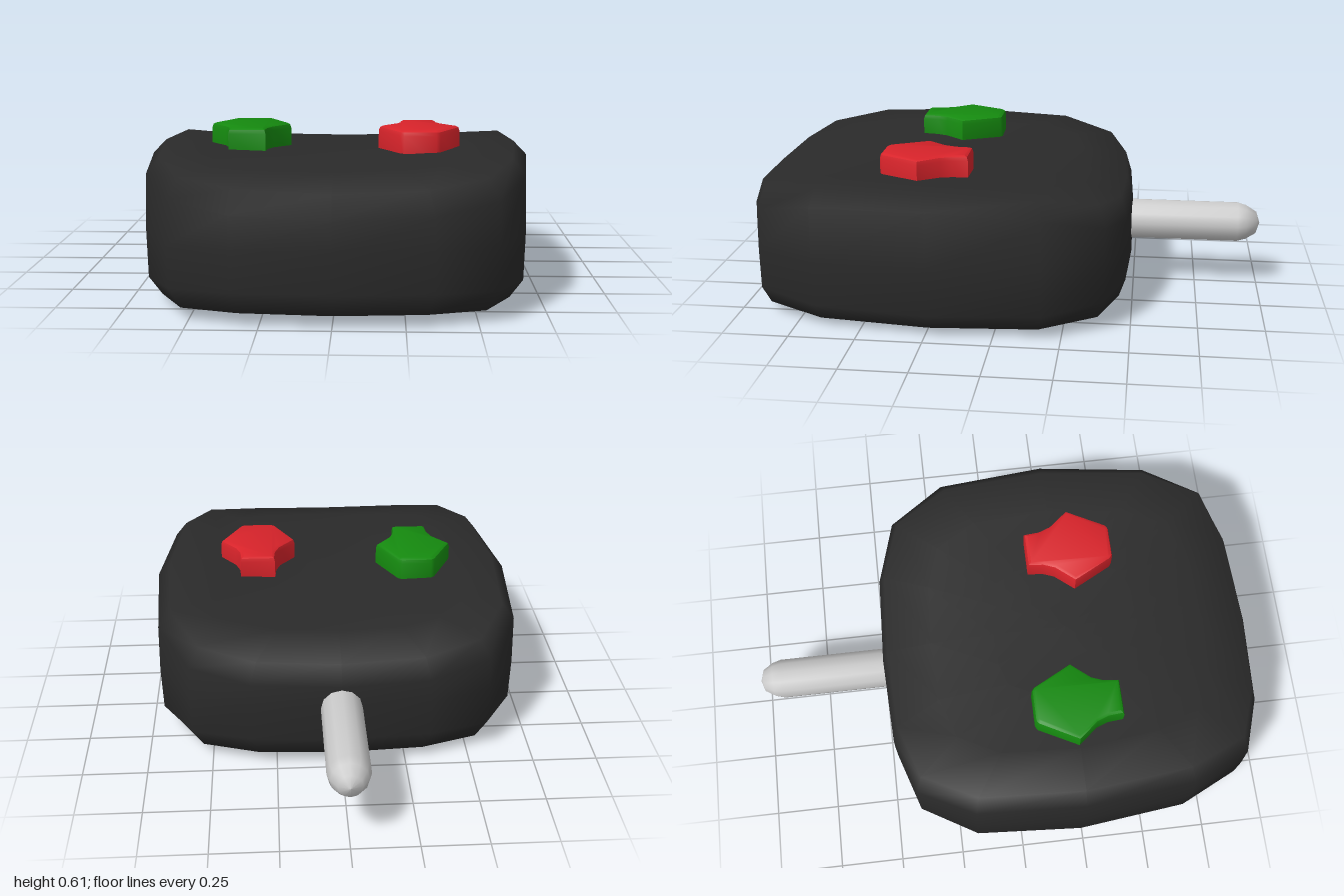
import * as THREE from 'three';
import { toCreasedNormals } from 'three/addons/utils/BufferGeometryUtils.js';

const material = (color) => new THREE.MeshStandardMaterial({ color });
const CENTRE_Z = 0.25;

// Half of the plan outline, from the back centre round to the front centre
const HALF = [[0, -0.49], [0.345, -0.475], [0.58, -0.4], [0.705, -0.18], [0.73, 0.24],
  [0.68, 0.67], [0.57, 0.9], [0.35, 0.975], [0, 0.995]];
const OUTLINE = [...HALF, ...HALF.slice(1, -1).reverse().map(([x, z]) => [-x, z])];

// Gently saddle-shaped top and slightly bowed underside
const along = (z) => (z - CENTRE_Z) / 0.745;
const topY = (x, z) => 0.515 + 0.025 * (x / 0.7) ** 2 + 0.012 * along(z) - 0.075 * along(z) ** 4;
const bottomY = (x, z) => 0.03 * (x / 0.7) ** 2 + 0.05 * along(z) ** 4;

function bodyGeometry() {
  const cap = (k, rule) => ({ sx: 0.925 * k, sz: 0.965 * k, y: rule });
  const low = (x, z) => bottomY(x, z) + 0.06 + 0.01 * along(z) ** 2;
  const high = (x, z) => topY(x, z) - 0.055 - 0.025 * along(z) ** 2;
  const rings = [
    cap(0.4, bottomY), cap(0.75, bottomY), cap(1, bottomY),
    { sx: 0.993, sz: 0.998, y: low },
    { sx: 1, sz: 1, y: () => 0.27 },
    { sx: 0.993, sz: 0.998, y: high },
    cap(1, topY), cap(0.75, topY), cap(0.4, topY),
  ];
  const n = OUTLINE.length;
  const positions = [];
  const index = [];
  for (const { sx, sz, y } of rings) {
    for (const [ox, oz] of OUTLINE) {
      const x = ox * sx;
      const z = CENTRE_Z + (oz - CENTRE_Z) * sz;
      positions.push(x, y(x, z), z);
    }
  }
  const bottom = rings.length * n;
  positions.push(0, bottomY(0, CENTRE_Z), CENTRE_Z, 0, topY(0, CENTRE_Z), CENTRE_Z);
  for (let i = 0; i < n; i++) {
    const j = (i + 1) % n;
    for (let r = 0; r < rings.length - 1; r++) {
      const a = r * n + i, b = r * n + j;
      index.push(a, a + n, b, b, a + n, b + n);
    }
    const last = (rings.length - 1) * n;
    index.push(bottom, i, j, bottom + 1, last + j, last + i);
  }
  const geometry = new THREE.BufferGeometry();
  geometry.setAttribute('position', new THREE.Float32BufferAttribute(positions, 3));
  geometry.setIndex(index);
  geometry.computeVertexNormals();
  return geometry;
}

// Arrow-shaped button, stem towards the back, bevelled edges
function buttonGeometry() {
  const half = [[0.07, 0.17], [0.075, 0.11], [0.092, 0.065], [0.154, -0.01], [0.075, -0.16], [0.06, -0.17]];
  const points = [...half.map(([x, y]) => [-x, y]), ...half.slice().reverse()];
  const shape = new THREE.Shape(points.map(([x, y]) => new THREE.Vector2(x, y)));
  const geometry = new THREE.ExtrudeGeometry(shape, {
    depth: 0.105, bevelThickness: 0.02, bevelSize: 0.014, bevelOffset: -0.014, bevelSegments: 2,
  });
  geometry.rotateX(-Math.PI / 2).translate(0, 0.48, 0);
  return toCreasedNormals(geometry, 0.7);
}

// Round pin with a domed tip, pointing to the back
function pinGeometry() {
  const profile = [[0, 0.35], [0.08, 0.35], [0.08, 0.91], [0.07, 0.945], [0.045, 0.985], [0, 1]];
  const geometry = new THREE.LatheGeometry(profile.map(([r, l]) => new THREE.Vector2(r, l)), 12);
  return geometry.rotateX(-Math.PI / 2).translate(0, 0.26, 0);
}

export function createModel() {
  const group = new THREE.Group();
  const add = (name, geometry, color) => {
    const mesh = new THREE.Mesh(geometry, material(color));
    mesh.name = name;
    group.add(mesh);
    return mesh;
  };
  add('body', bodyGeometry(), 0x2a2a2a);
  add('pin', pinGeometry(), 0xcccccc);
  add('redButton', buttonGeometry(), 0xd8232a).position.set(0.308, 0, 0.3);
  const green = add('greenButton', buttonGeometry(), 0x158a0f);
  green.position.set(-0.34, 0, 0.25);
  green.rotation.y = Math.PI;
  return group;
}
